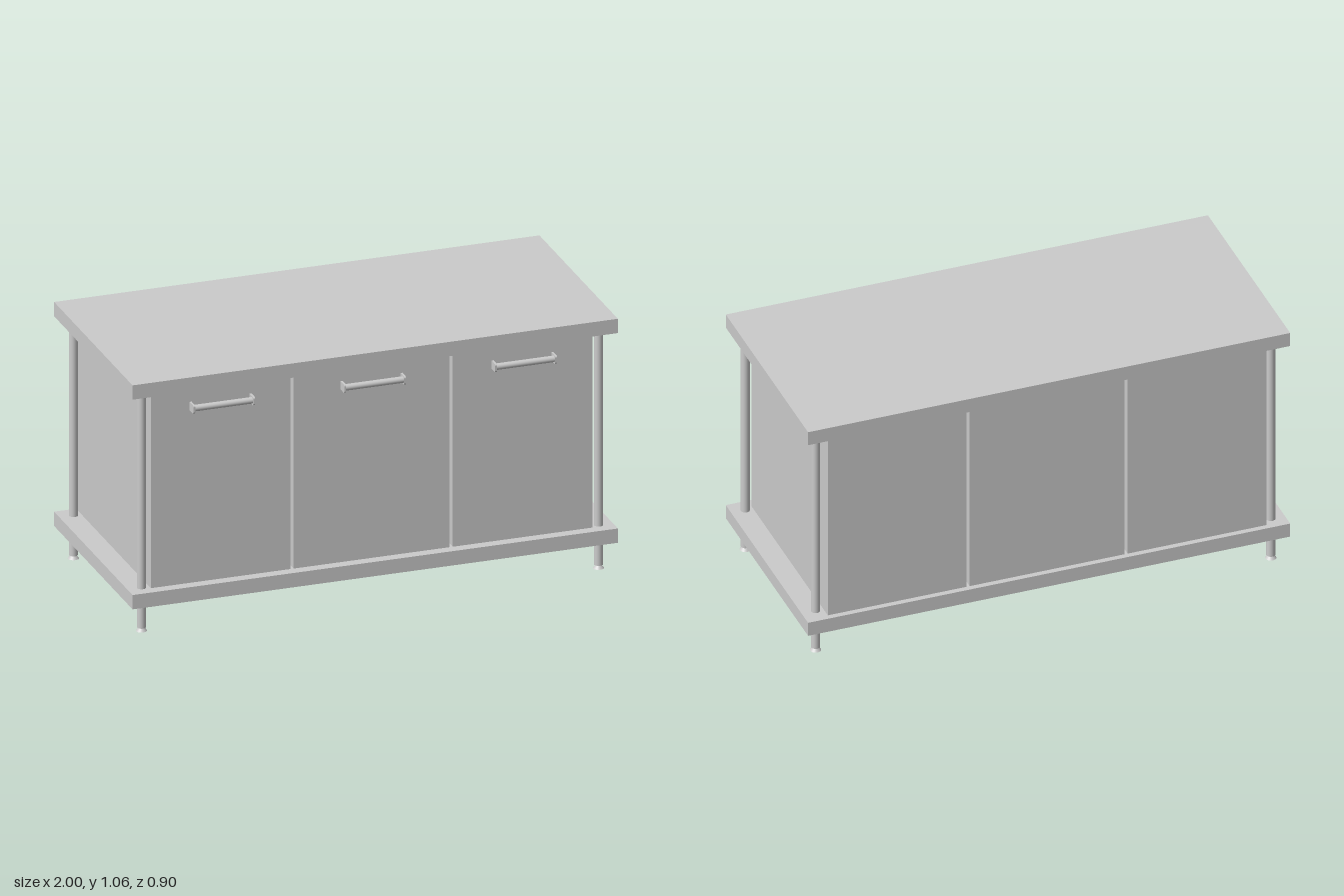
import * as THREE from 'three';

const material = new THREE.MeshStandardMaterial({ color: 0xcccccc });

function add(parent, name, geometry, x = 0, y = 0, z = 0) {
  const mesh = new THREE.Mesh(geometry, material);
  mesh.name = name;
  mesh.position.set(x, y, z);
  parent.add(mesh);
  return mesh;
}

// Folded sheet-metal slab: a flat sheet with a rim turned down, open below
function createTray(name, top) {
  const tray = new THREE.Group();
  tray.name = name;
  const w = 2, d = 0.9, h = 0.06, t = 0.004;
  add(tray, 'sheet', new THREE.BoxGeometry(w, t, d), 0, top - t / 2, 0);
  for (const s of [-1, 1]) {
    add(tray, 'longRim', new THREE.BoxGeometry(w, h - t, t), 0, top - (h + t) / 2, s * (d - t) / 2);
    add(tray, 'shortRim', new THREE.BoxGeometry(t, h - t, d - 2 * t), s * (w - t) / 2, top - (h + t) / 2, 0);
  }
  return tray;
}

// Round tube leg with a flared levelling foot
function createLeg(x, z) {
  const leg = new THREE.Group();
  leg.name = 'leg';
  add(leg, 'tube', new THREE.CylinderGeometry(0.018, 0.018, 0.985, 20), 0, 0.5075, 0);
  add(leg, 'foot', new THREE.CylinderGeometry(0.012, 0.022, 0.012, 20), 0, 0.006, 0);
  add(leg, 'footStem', new THREE.CylinderGeometry(0.012, 0.012, 0.006, 20), 0, 0.014, 0);
  leg.position.set(x, 0, z);
  return leg;
}

// End plate of a handle: rounded at the outer corners, drawn in (z, y)
function endPlateGeometry(thickness) {
  const r = 0.008, h = 0.0175, out = 0.042;
  const shape = new THREE.Shape();
  shape.moveTo(0, -h);
  shape.lineTo(out - r, -h);
  shape.absarc(out - r, -h + r, r, -Math.PI / 2, 0);
  shape.lineTo(out, h - r);
  shape.absarc(out - r, h - r, r, 0, Math.PI / 2);
  shape.lineTo(0, h);
  shape.closePath();
  return new THREE.ExtrudeGeometry(shape, { depth: thickness, bevelEnabled: false, curveSegments: 5 })
    .translate(0, 0, -thickness / 2)
    .rotateY(-Math.PI / 2);
}

// Bar handle held between two end plates
function createHandle(x, y, z) {
  const handle = new THREE.Group();
  handle.name = 'handle';
  const length = 0.255, t = 0.008;
  const bar = add(handle, 'bar', new THREE.CylinderGeometry(0.013, 0.013, length - t, 20), 0, 0, 0.026);
  bar.rotation.z = Math.PI / 2;
  for (const s of [-1, 1]) {
    add(handle, 'endPlate', endPlateGeometry(t), s * (length - t) / 2, 0, 0);
  }
  handle.position.set(x, y, z);
  return handle;
}

export function createModel() {
  const model = new THREE.Group();
  model.name = 'workCounter';

  model.add(createTray('tabletop', 1.06), createTray('bottomShelf', 0.18));

  // Four legs passing through the shelf
  for (const [x, z] of [[-0.942, 0.39], [0.942, 0.39], [-0.942, -0.39], [0.942, -0.379]]) {
    model.add(createLeg(x, z));
  }

  // Three separate cabinets with narrow gaps between them
  const bottom = 0.18, top = 1.0, front = 0.408, back = -0.427;
  for (const [x, width] of [[-0.622, 0.575], [0, 0.642], [0.622, 0.575]]) {
    const cabinet = new THREE.Group();
    cabinet.name = 'cabinet';
    add(cabinet, 'cabinetBody', new THREE.BoxGeometry(width, top - bottom, front - back),
      x, (top + bottom) / 2, (front + back) / 2);
    cabinet.add(createHandle(x, 0.922, front));
    model.add(cabinet);
  }

  return model;
}
